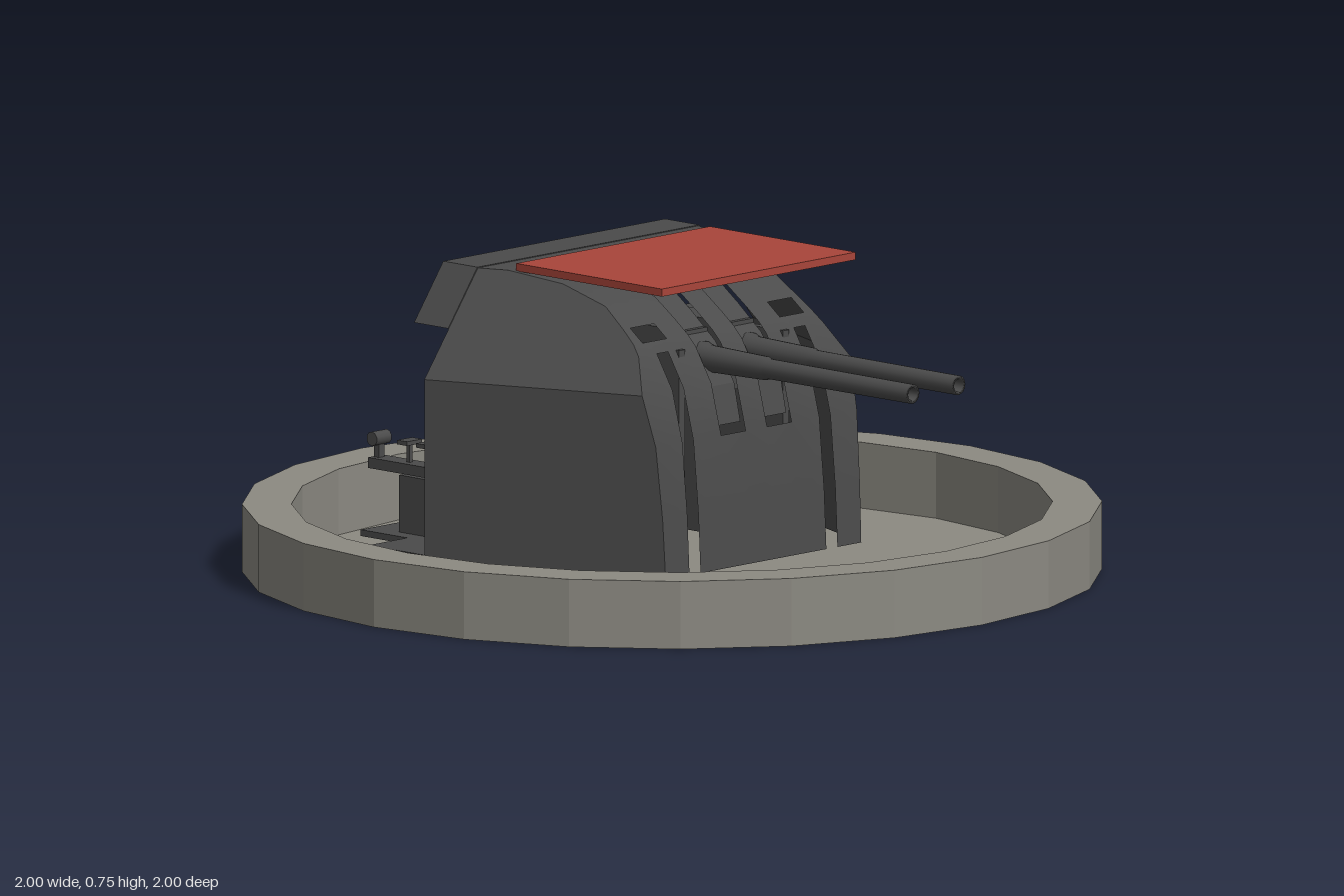
import * as THREE from 'three';

const mat = (name, color, side = THREE.DoubleSide) => {
  const m = new THREE.MeshStandardMaterial({ color, side });
  m.name = name;
  return m;
};

export function createModel() {
  const model = new THREE.Group();
  model.name = 'gunTurret';
  const stone = mat('stone grey', 0x8c8a82);
  const steel = mat('dark steel', 0x4b4b4b);
  const red = mat('red panel', 0xa8453a);

  const add = (name, geo, material = steel, parent = model) => {
    const mesh = new THREE.Mesh(geo, material);
    mesh.name = name;
    parent.add(mesh);
    return mesh;
  };
  // box given by its limits on each axis
  const box = (name, x0, x1, y0, y1, z0, z1, parent = model, material = steel) => {
    const m = add(name, new THREE.BoxGeometry(x1 - x0, y1 - y0, z1 - z0), material, parent);
    m.position.set((x0 + x1) / 2, (y0 + y1) / 2, (z0 + z1) / 2);
    return m;
  };
  // surface from rows of points, leaving out cells for openings
  const sheet = (rows, skip = () => false) => {
    const n = rows[0].length, index = [];
    for (let r = 0; r < rows.length - 1; r++) {
      for (let c = 0; c < n - 1; c++) {
        if (skip(r, c)) continue;
        const a = r * n + c, b = a + n;
        index.push(a, a + 1, b, a + 1, b + 1, b);
      }
    }
    const g = new THREE.BufferGeometry();
    g.setAttribute('position', new THREE.Float32BufferAttribute(rows.flat(2), 3));
    g.setIndex(index);
    g.computeVertexNormals();
    return g;
  };

  // round gun pit: low wall and floor
  const v2 = pts => pts.map(p => new THREE.Vector2(...p));
  const wall = new THREE.LatheGeometry(v2([[1, 0], [1, 0.16], [0.885, 0.16], [0.885, 0.002]]), 24).toNonIndexed();
  wall.computeVertexNormals();
  add('pitWall', wall, stone);
  add('pitFloor', new THREE.CylinderGeometry(0.91, 0.91, 0.004, 24), stone).position.y = 0.002;

  // gun shield: front curve as [height, front x]
  const curve = [[0.06, 0.295], [0.2, 0.288], [0.37, 0.272], [0.49, 0.24], [0.57, 0.19], [0.595, 0.165],
    [0.625, 0.125], [0.67, 0.06], [0.71, -0.06], [0.73, -0.2], [0.73, -0.27]];
  const rear = -0.27;
  const halfWidth = (x, y) => 0.55 - (x - rear) * 0.393 - Math.max(0, y - 0.49) * 0.75;
  const cuts = [0.27, 0.248, 0.211, 0.19, 0.118, 0.036];
  const frontRows = curve.map(([y, x]) => {
    const half = [halfWidth(x, y), ...cuts];
    return [...half, ...half.map(z => -z).reverse()].map(z => [x, y, z]);
  });
  const opening = (r, c) => {
    const k = Math.min(c, 12 - c), y = curve[r][0];
    return (k === 2 && y < 0.56)                       // sight slits
      || (k >= 1 && k <= 3 && y === 0.595)             // sight windows
      || (k === 5 && y >= 0.37 && y < 0.7);            // barrel openings
  };
  const shield = new THREE.Group();
  shield.name = 'shield';
  model.add(shield);
  add('shieldFront', sheet(frontRows, opening), steel, shield);
  for (const s of [1, -1]) {
    const side = curve.map(([y, x]) => [rear, x].map(px => [px, y, s * halfWidth(px, y)]));
    add('shieldLowerSide', sheet(side.slice(0, 4)), steel, shield);
    add('shieldUpperSide', sheet(side.slice(3)), steel, shield);
  }

  // rear hood with sloping ends
  const hood = new THREE.Shape(v2([[-0.47, 0.6], [-0.372, 0.732], [0.372, 0.732], [0.47, 0.6],
    [0.455, 0.6], [0.365, 0.718], [-0.365, 0.718], [-0.455, 0.6]]));
  const hoodMesh = add('rearHood', new THREE.ExtrudeGeometry(hood, { depth: 0.11, bevelEnabled: false }), steel, shield);
  hoodMesh.rotation.y = Math.PI / 2;
  hoodMesh.position.x = -0.38;

  // roof panel
  box('roofPanel', -0.19, 0.28, 0.727, 0.745, -0.325, 0.325, model, red);

  // pedestal
  add('pedestal', new THREE.CylinderGeometry(0.1, 0.1, 0.08, 20), steel).position.set(-0.28, 0.04, 0);

  for (const s of [1, -1]) {
    // one gun: barrel, mantlet, breech
    const gun = new THREE.Group();
    gun.name = 'gun';
    gun.position.z = s * 0.077;
    model.add(gun);
    const barrel = add('barrel', new THREE.LatheGeometry(v2([[0.04, 0], [0.038, 0.08], [0.032, 0.1], [0.028, 0.28],
      [0.024, 0.29], [0.023, 0.75], [0.015, 0.75], [0.014, 0.65], [0, 0.65]]), 16), steel, gun);
    barrel.rotation.z = -Math.PI / 2;
    barrel.position.set(0.1, 0.537, 0);
    const plate = new THREE.Shape(v2([[0.255, 0.39], [0.235, 0.48], [0.175, 0.57], [0.1, 0.63], [0.03, 0.68],
      [-0.02, 0.68], [0.06, 0.62], [0.14, 0.55], [0.2, 0.46], [0.22, 0.39]]));
    add('mantlet', new THREE.ExtrudeGeometry(plate, { depth: 0.082, bevelEnabled: false }), steel, gun).position.z = -0.041;
    box('cradle', -0.34, 0.15, 0.44, 0.6, -0.04, 0.04, gun);
    box('breechHousing', -0.43, -0.34, 0.39, 0.68, -0.055, 0.055, gun);
    box('breechBlock', -0.55, -0.43, 0.46, 0.59, s * 0.015 - 0.045, s * 0.015 + 0.045, gun);
    box('loadingTray', -0.5, -0.42, 0.59, 0.605, -0.05, 0.02, gun);
    const cyl = add('recoilCylinder', new THREE.CylinderGeometry(0.02, 0.02, 0.08, 12), steel, gun);
    cyl.rotation.z = Math.PI / 2;
    cyl.position.set(-0.455, 0.625, 0);
    box('breechCap', -0.48, -0.42, 0.645, 0.685, -0.025, 0.025, gun);

    // carriage, crew platform and laying gear on one side
    const station = new THREE.Group();
    station.name = 'crewStation';
    model.add(station);
    const part = (name, x0, x1, y0, y1, z0, z1) =>
      box(name, x0, x1, y0, y1, Math.min(s * z0, s * z1), Math.max(s * z0, s * z1), station);
    part('carriageCheek', -0.26, 0.2, 0.06, 0.57, 0.165, 0.185);
    part('trunnionBox', -0.32, -0.22, 0.42, 0.57, 0.14, 0.2);
    part('platform', -0.6, -0.27, 0.06, 0.075, 0.22, 0.42);
    part('sideStep', -0.45, -0.27, 0.06, 0.075, 0.37, 0.55);
    part('stepBracket', -0.45, -0.44, 0, 0.06, 0.47, 0.55);
    part('gearBox', -0.515, -0.28, 0.075, 0.21, 0.28, 0.38);
    part('gearRail', -0.61, -0.33, 0.215, 0.24, 0.335, 0.385);
    part('panel', -0.385, -0.378, 0.24, 0.31, 0.31, 0.4);
    part('instrumentBox', -0.32, -0.25, 0.25, 0.33, 0.3, 0.4);
    part('sightColumn', -0.29, -0.25, 0.07, 0.46, 0.36, 0.42);
    part('sightHead', -0.31, -0.23, 0.42, 0.54, 0.33, 0.42);
    for (const x of [-0.5, -0.44]) {
      part('leverPost', x - 0.005, x + 0.005, 0.24, 0.285, 0.355, 0.365);
      part('leverTop', x - 0.016, x + 0.016, 0.283, 0.293, 0.335, 0.385);
    }
    part('handlePost', -0.605, -0.59, 0.24, 0.28, 0.35, 0.37);
    const knob = add('handleKnob', new THREE.CylinderGeometry(0.017, 0.017, 0.05, 10), steel, station);
    knob.rotation.x = Math.PI / 2;
    knob.position.set(-0.598, 0.285, s * 0.36);
    const wheel = add('handWheel', new THREE.CylinderGeometry(0.02, 0.045, 0.06, 12), steel, station);
    wheel.rotation.z = -Math.PI / 2;
    wheel.position.set(-0.33, 0.28, s * 0.33);
  }
  return model;
}
